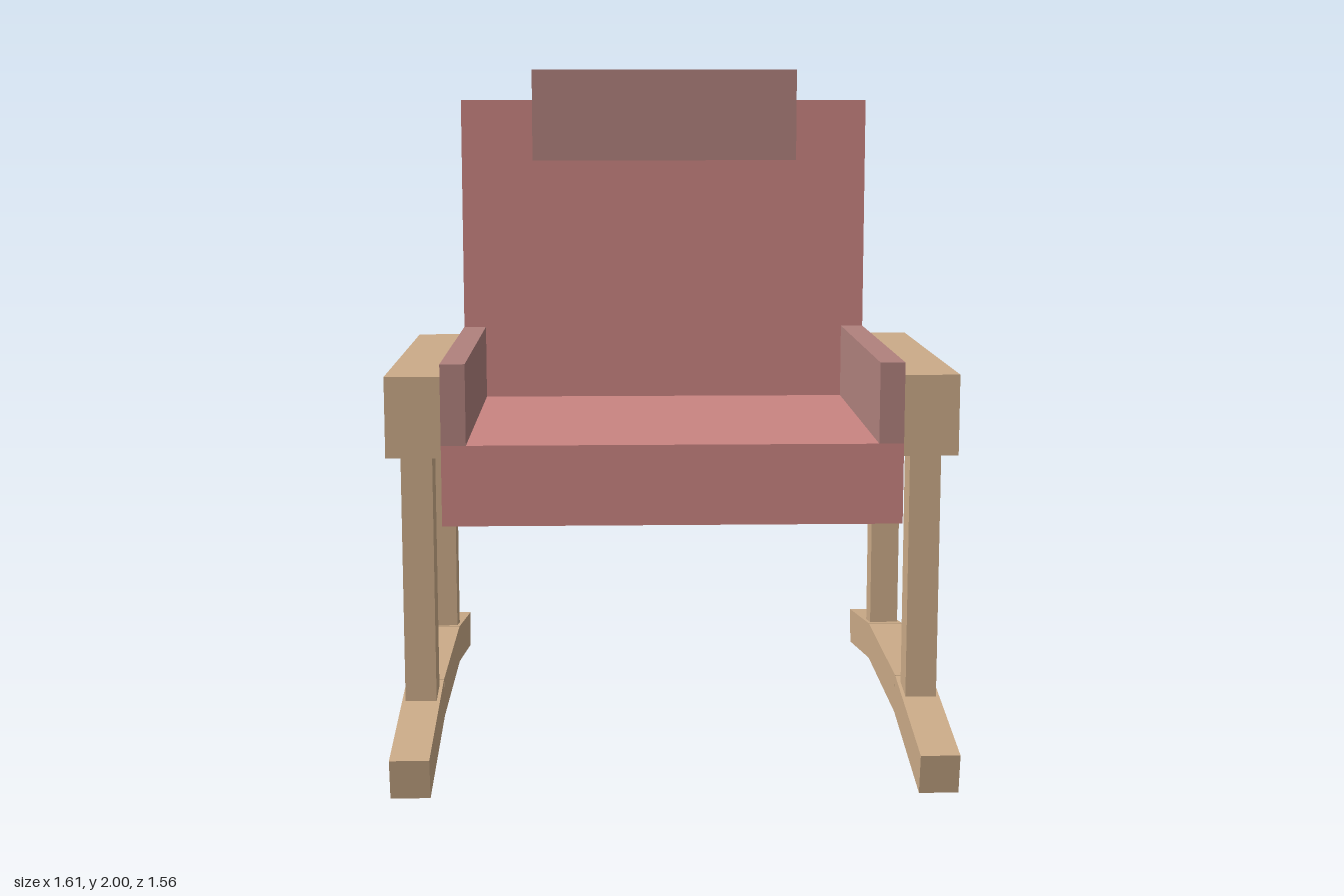
import * as THREE from 'three';

export function createModel() {
  const group = new THREE.Group();
  const mat = (name, color) => {
    const m = new THREE.MeshStandardMaterial({ color });
    m.name = name;
    return m;
  };
  const wood = mat('light wood', 0xcbab88);
  const fabric = mat('rose fabric', 0xc98481);
  const trim = mat('dusky trim fabric', 0xb0817d);

  // Box given by its extents on each axis
  function box(name, material, [x0, x1], [y0, y1], [z0, z1]) {
    const mesh = new THREE.Mesh(new THREE.BoxGeometry(x1 - x0, y1 - y0, z1 - z0), material);
    mesh.position.set((x0 + x1) / 2, (y0 + y1) / 2, (z0 + z1) / 2);
    mesh.name = name;
    group.add(mesh);
    return mesh;
  }

  // Upholstery
  box('seat', fabric, [-0.65, 0.65], [0.715, 0.945], [-0.43, 0.54]);
  box('backrest', fabric, [-0.65, 0.65], [0.945, 1.905], [-0.575, -0.385]);

  // Headrest folded over the top of the back, an L section extruded sideways
  const section = new THREE.Shape([
    [0.575, 1.905], [0.385, 1.905], [0.385, 1.715],
    [0.31, 1.715], [0.31, 2], [0.575, 2],
  ].map(([d, y]) => new THREE.Vector2(d, y)));
  const headGeo = new THREE.ExtrudeGeometry(section, { depth: 0.84, bevelEnabled: false });
  headGeo.rotateY(Math.PI / 2).translate(-0.42, 0, 0);
  const headrest = new THREE.Mesh(headGeo, trim);
  headrest.name = 'headrest';
  group.add(headrest);

  // Both sides: arm, cushion, legs and a three-piece runner
  for (const s of [-1, 1]) {
    const side = s > 0 ? 'left' : 'right';
    const span = (a, b) => (s > 0 ? [a, b] : [-b, -a]);

    box(side + 'ArmCushion', trim, span(0.58, 0.65), [0.945, 1.175], [-0.385, 0.54]);
    box(side + 'Armrest', wood, span(0.65, 0.805), [0.91, 1.14], [-0.48, 0.54]);
    box(side + 'RunnerMiddle', wood, span(0.675, 0.785), [0.08, 0.195], [-0.288, 0.288]);

    for (const f of [-1, 1]) {
      const end = f > 0 ? 'Front' : 'Back';
      const z = f > 0 ? [0.335, 0.43] : [-0.43, -0.335];
      box(side + end + 'Leg', wood, span(0.685, 0.775), [0.15, 0.91], z);

      // Runner end sloping down to the floor
      const tip = box(side + end + 'RunnerEnd', wood, span(0.675, 0.785), [0.04, 0.155], [0, 0.491]);
      tip.position.y = 0.0975;
      tip.position.z = f * 0.5276;
      tip.rotation.x = f * 0.1668;
    }
  }
  return group;
}
